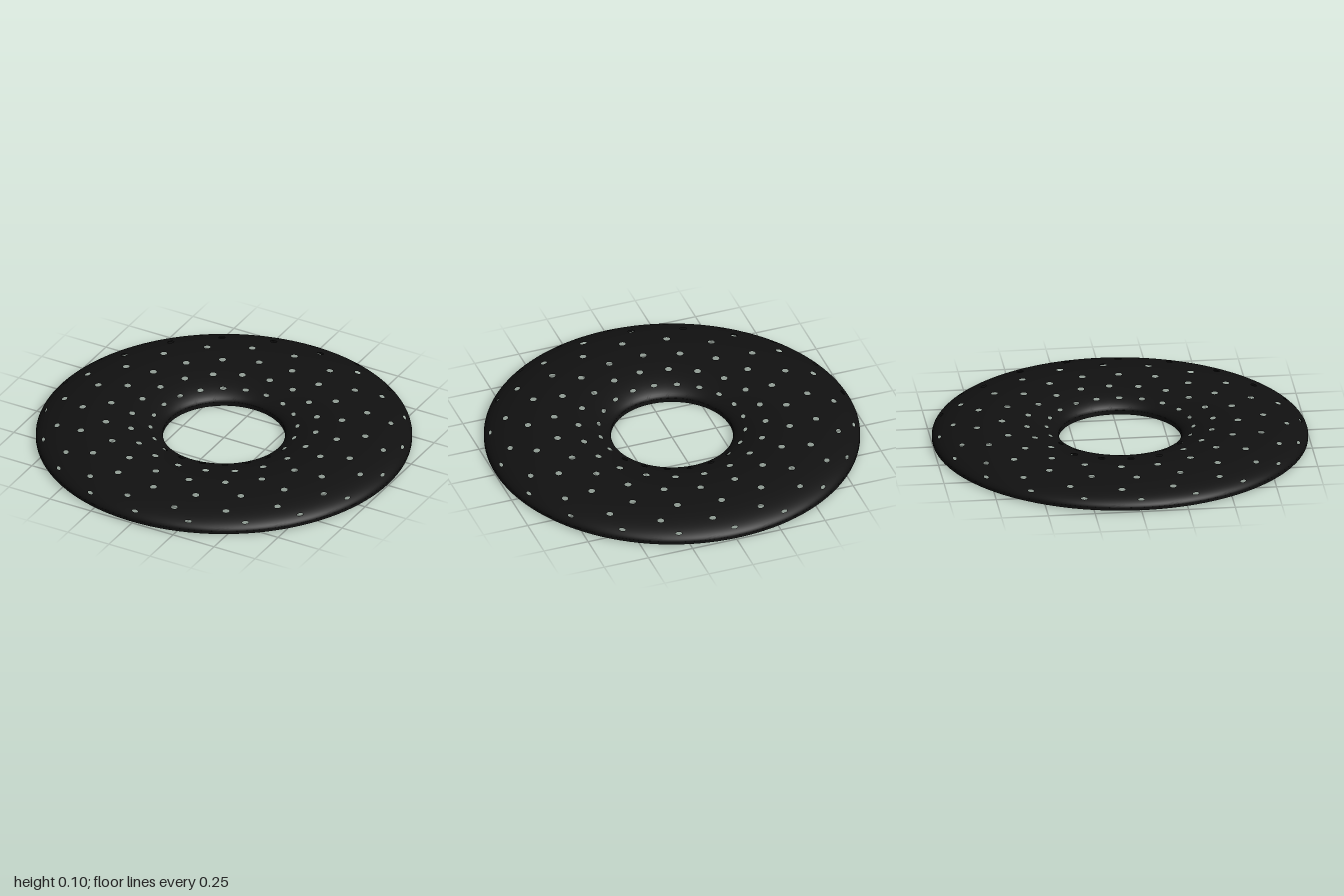
import * as THREE from 'three';
import { toCreasedNormals } from 'three/addons/utils/BufferGeometryUtils.js';

const INNER = 0.326, OUTER = 1;
const MID = (INNER + OUTER) / 2, HALF = (OUTER - INNER) / 2; // half-ellipse cross-section
const BASE = 0.02, RISE = 0.084;
const HOLES_PER_RING = 20, HOLE_RADIUS = 0.018;
const CELL = (Math.PI * 2) / HOLES_PER_RING;
const HOLE_RINGS = [0.39, 0.497, 0.627, 0.766, 0.887, 0.967];

const material = new THREE.MeshStandardMaterial({ color: 0x111111, side: THREE.DoubleSide });

// Outline of one cell in (-1..1, -1..1), counter-clockwise
function cellOutline(across, along) {
  const pts = [];
  for (let i = 0; i < across; i++) pts.push([-1 + (2 * i) / across, -1]);
  for (let i = 0; i < along; i++) pts.push([1, -1 + (2 * i) / along]);
  for (let i = 0; i < across; i++) pts.push([1 - (2 * i) / across, 1]);
  for (let i = 0; i < along; i++) pts.push([-1, 1 - (2 * i) / along]);
  return pts;
}

// Domed shell made of cells, each with a round hole blended out to its border
function perforatedShell() {
  const positions = [], normals = [], indices = [];
  const outline = cellOutline(12, 6), count = outline.length, steps = 6;

  const addPoint = (angle, t) => {
    const r = MID - HALF * Math.cos(t);
    const sin = Math.sin(angle), cos = Math.cos(angle);
    positions.push(r * sin, BASE + RISE * Math.sin(t), -r * cos);
    const n = new THREE.Vector2(-RISE * Math.cos(t), HALF * Math.sin(t)).normalize();
    normals.push(n.x * sin, n.y, -n.x * cos);
  };

  const ts = HOLE_RINGS.map((r) => Math.acos((MID - r) / HALF));
  ts.forEach((t, ring) => {
    const low = ring === 0 ? 0 : (ts[ring - 1] + t) / 2;
    const high = ring === ts.length - 1 ? Math.PI : (t + ts[ring + 1]) / 2;
    const radius = HOLE_RINGS[ring];
    const offset = ring % 2 === 0 ? CELL / 3 : 0; // alternate rings are staggered

    for (let h = 0; h < HOLES_PER_RING; h++) {
      const centre = offset + h * CELL;
      const start = positions.length / 3;
      for (let s = 0; s <= steps; s++) {
        const f = s / steps;
        for (const [u, v] of outline) {
          const du = (u * CELL) / 2;
          const dt = low + ((v + 1) / 2) * (high - low) - t;
          const a = Math.atan2(dt * HALF, du * radius);
          const holeU = (HOLE_RADIUS / radius) * Math.cos(a);
          const holeT = (HOLE_RADIUS / HALF) * Math.sin(a);
          addPoint(centre + holeU + (du - holeU) * f, t + holeT + (dt - holeT) * f);
        }
      }
      for (let s = 0; s < steps; s++) {
        for (let k = 0; k < count; k++) {
          const next = (k + 1) % count;
          const a = start + s * count + k, d = start + s * count + next;
          const b = a + count, c = d + count;
          indices.push(a, b, c, a, c, d);
        }
      }
    }
  });

  const geometry = new THREE.BufferGeometry();
  geometry.setAttribute('position', new THREE.Float32BufferAttribute(positions, 3));
  geometry.setAttribute('normal', new THREE.Float32BufferAttribute(normals, 3));
  geometry.setIndex(indices);
  return geometry;
}

// Flat band with a rectangular section
function band(r0, r1, y0, y1) {
  const profile = [[r0, y0], [r1, y0], [r1, y1], [r0, y1], [r0, y0]];
  const lathe = new THREE.LatheGeometry(profile.map(([x, y]) => new THREE.Vector2(x, y)), 120);
  return toCreasedNormals(lathe, 0.6);
}

export function createModel() {
  const group = new THREE.Group();
  group.name = 'perforatedRing';
  const add = (name, geometry) => {
    const mesh = new THREE.Mesh(geometry, material);
    mesh.name = name;
    group.add(mesh);
  };

  add('perforatedShell', perforatedShell());
  // Lips stiffening the two open edges; the inner one reaches lower
  add('outerLip', band(0.985, OUTER, 0.008, 0.024));
  add('innerLip', band(INNER, 0.334, 0, 0.024));
  return group;
}
